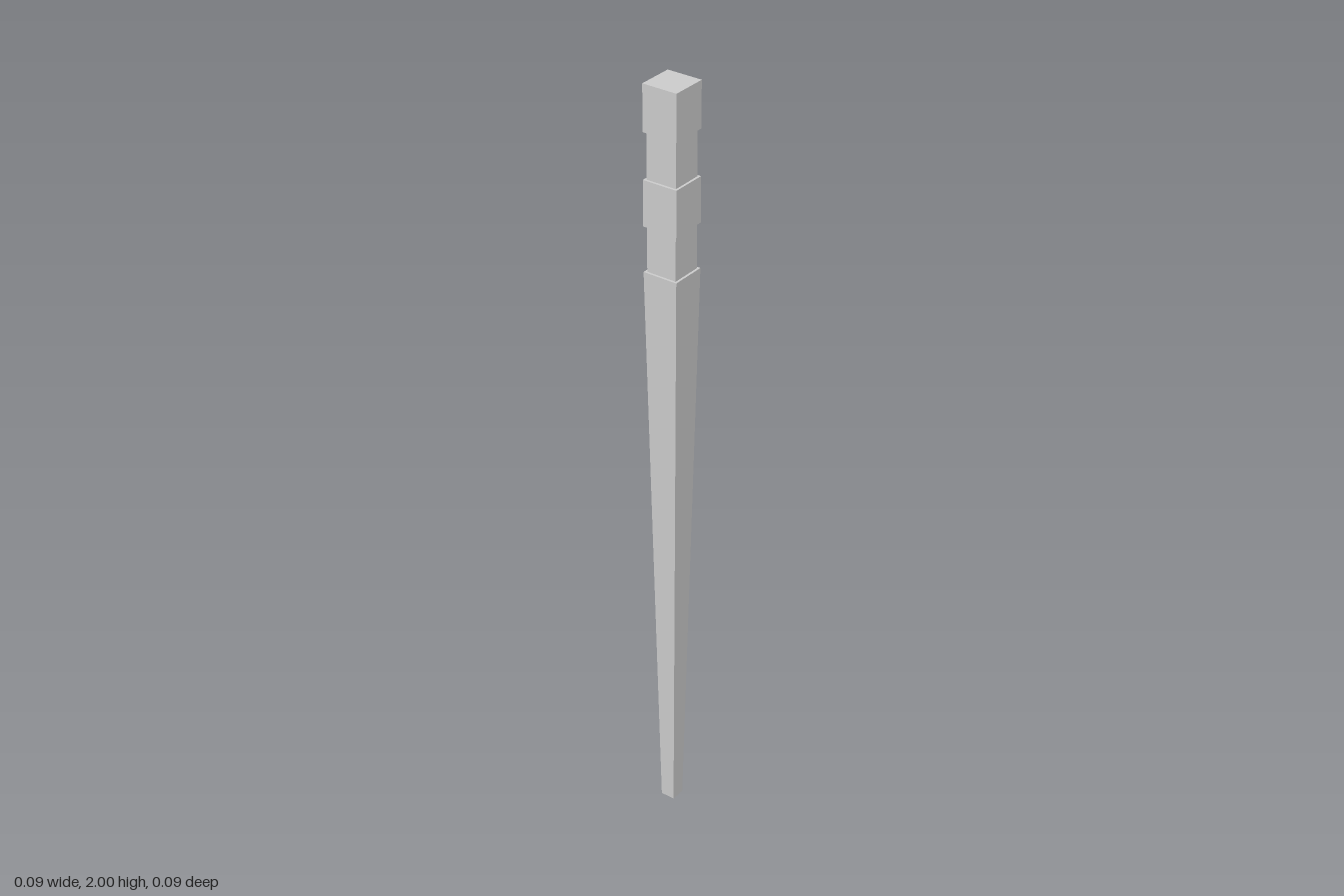
import * as THREE from 'three';

export function createModel() {
  const group = new THREE.Group();
  const material = new THREE.MeshStandardMaterial({ color: 0xcccccc, flatShading: true });

  // Square section between two heights, given half widths at bottom and top
  function section(name, y0, y1, bottom, top) {
    const geometry = new THREE.CylinderGeometry(top * Math.SQRT2, bottom * Math.SQRT2, y1 - y0, 4);
    geometry.rotateY(Math.PI / 4);
    const mesh = new THREE.Mesh(geometry, material);
    mesh.name = name;
    mesh.position.y = (y0 + y1) / 2;
    group.add(mesh);
  }

  const wide = 0.046, narrow = 0.04, tip = 0.019;
  const step = 0.115, shaftTop = 2 - 4 * step;

  // Long shaft tapering to the tip
  section('taperedShaft', 0, shaftTop, tip, wide);

  // Alternating necks and blocks of the handle
  ['lowerNeck', 'middleBlock', 'upperNeck', 'topBlock'].forEach((name, i) => {
    const half = i % 2 ? wide : narrow;
    section(name, shaftTop + i * step, shaftTop + (i + 1) * step, half, half);
  });

  return group;
}
